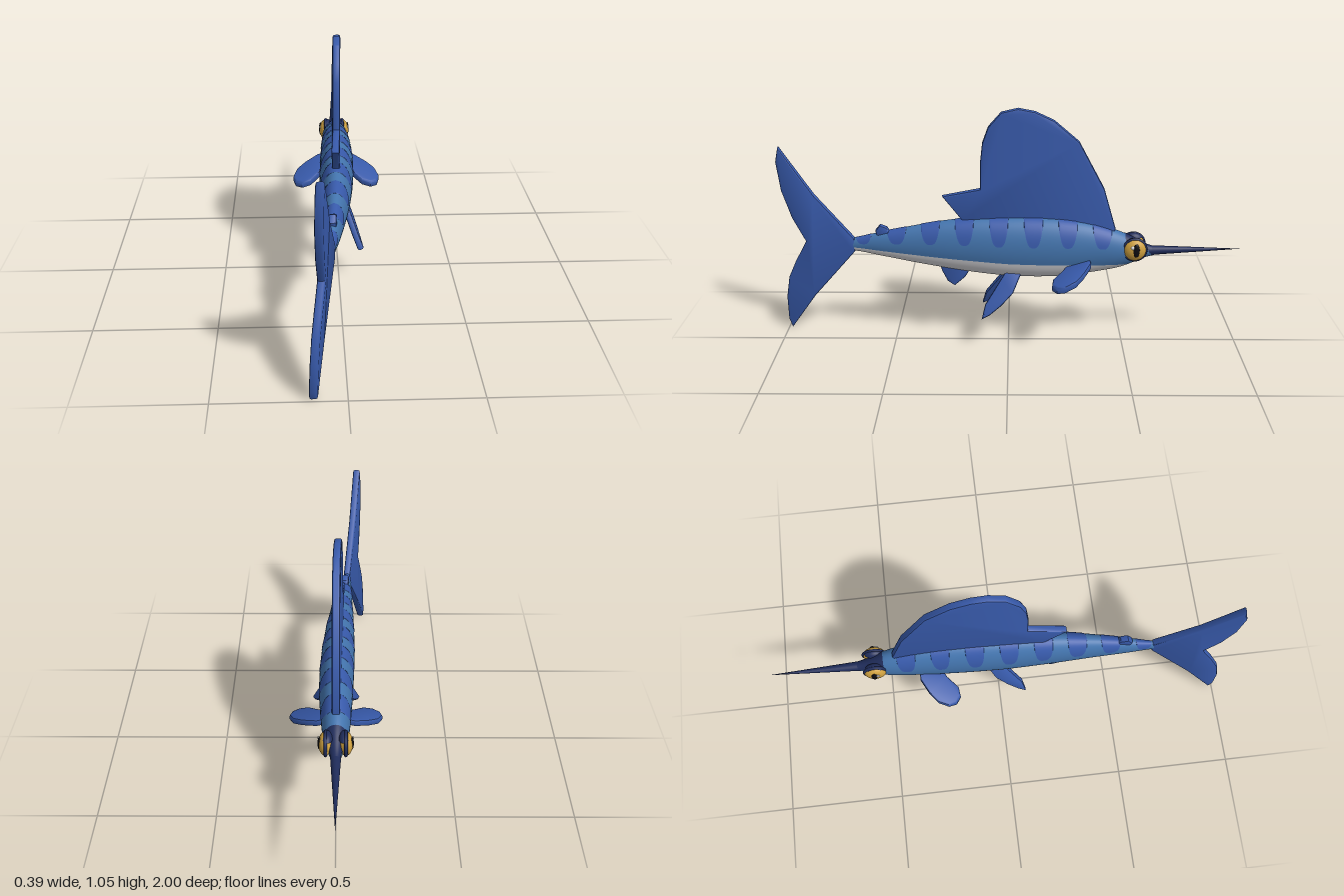
import * as THREE from 'three';
import { toCreasedNormals } from 'three/addons/utils/BufferGeometryUtils.js';

const mat = (name, color, side = THREE.FrontSide) => {
  const m = new THREE.MeshStandardMaterial({ color, side });
  m.name = name;
  return m;
};

// Body stations, evenly spaced along z from snout to tail root
const Z0 = -0.62, STEP = 0.13, Z1 = 0.68;
const TOP = [0.445, 0.508, 0.55, 0.57, 0.576, 0.574, 0.567, 0.55, 0.523, 0.493, 0.46];
const BOTTOM = [0.405, 0.355, 0.328, 0.31, 0.305, 0.309, 0.322, 0.34, 0.36, 0.382, 0.402];
const WIDTH = [0.018, 0.05, 0.063, 0.07, 0.073, 0.072, 0.066, 0.057, 0.044, 0.031, 0.015];
const BEND = [0, 0, 0, 0, -0.003, -0.008, -0.014, -0.021, -0.03, -0.041, -0.052];

// Smooth interpolation of a station table
function at(table, z) {
  const f = THREE.MathUtils.clamp((z - Z0) / STEP, 0, table.length - 1);
  const i = Math.min(Math.floor(f), table.length - 2), t = f - i;
  const p = (k) => table[THREE.MathUtils.clamp(k, 0, table.length - 1)];
  const [a, b, c, d] = [p(i - 1), p(i), p(i + 1), p(i + 2)];
  return b + 0.5 * t * (c - a + t * (2 * a - 5 * b + 4 * c - d + t * (3 * (b - c) + d - a)));
}

// Sideways curve of the spine, carried on into the tail fin
const spine = (z) => (z > Z1 ? -0.052 - (z - Z1) * 0.19 : at(BEND, z));

// Patch of body skin between z0..z1 and two angles measured from the top
function skin(z0, z1, from, to, lift = 0, rows = 48, cols = 32) {
  const pos = [], idx = [];
  for (let i = 0; i <= rows; i++) {
    const z = z0 + (z1 - z0) * i / rows;
    const mid = (at(TOP, z) + at(BOTTOM, z)) / 2;
    const h = (at(TOP, z) - at(BOTTOM, z)) / 2 + lift, w = at(WIDTH, z) + lift;
    for (let j = 0; j <= cols; j++) {
      const a = from(z) + (to(z) - from(z)) * j / cols;
      pos.push(spine(z) + w * Math.sin(a), mid + h * Math.cos(a), z);
      if (i < rows && j < cols) {
        const k = i * (cols + 1) + j, n = k + cols + 1;
        idx.push(k, n, k + 1, k + 1, n, n + 1);
      }
    }
  }
  const g = new THREE.BufferGeometry();
  g.setAttribute('position', new THREE.Float32BufferAttribute(pos, 3));
  g.setIndex(idx);
  g.computeVertexNormals();
  return g;
}

// Angle where the white belly meets the blue flank
function bellyAngle(z) {
  const line = 0.383 + 0.055 * Math.max(z, 0) + 0.02 * Math.min(z, 0);
  const mid = (at(TOP, z) + at(BOTTOM, z)) / 2, h = (at(TOP, z) - at(BOTTOM, z)) / 2;
  return Math.acos(THREE.MathUtils.clamp((line - mid) / h, -0.98, 0.98));
}

// Thick bevelled fin: outline in (a, b), thickness t, placed by a mapping
function fin(points, map, flip = false, thick = 0.032) {
  const bevel = 0.008;
  const g = new THREE.ExtrudeGeometry(new THREE.Shape(points.map((p) => new THREE.Vector2(...p))), {
    depth: thick - 2 * bevel, bevelThickness: bevel, bevelSize: bevel, bevelOffset: -bevel, bevelSegments: 2,
  });
  g.translate(0, 0, bevel - thick / 2);
  const p = g.attributes.position;
  for (let i = 0; i < p.count; i++) p.setXYZ(i, ...map(p.getX(i), p.getY(i), p.getZ(i)));
  if (flip) {
    const a = new THREE.Vector3(), b = new THREE.Vector3();
    for (let i = 0; i < p.count; i += 3) {
      a.fromBufferAttribute(p, i + 1);
      b.fromBufferAttribute(p, i + 2);
      p.setXYZ(i + 1, b.x, b.y, b.z);
      p.setXYZ(i + 2, a.x, a.y, a.z);
    }
  }
  g.deleteAttribute('uv');
  return toCreasedNormals(g, 0.7);
}

export function createModel() {
  const model = new THREE.Group();
  const finBlue = mat('finBlue', 0x3759a9), flankBlue = mat('flankBlue', 0x4374ad, THREE.DoubleSide);
  const white = mat('bellyWhite', 0xd6d6da, THREE.DoubleSide), navy = mat('navy', 0x1f2c5a, THREE.DoubleSide);
  const gold = mat('eyeGold', 0xcfa140), black = mat('pupilBlack', 0x0c0c10), shine = mat('eyeShine', 0xffffff);
  const add = (name, g, m, parent = model) => {
    const mesh = new THREE.Mesh(g, m);
    mesh.name = name;
    parent.add(mesh);
    return mesh;
  };

  // Body
  add('back', skin(Z0, Z1, (z) => -bellyAngle(z), bellyAngle), flankBlue);
  add('belly', skin(Z0, Z1, bellyAngle, (z) => 2 * Math.PI - bellyAngle(z)), white);
  add('headCrown', skin(Z0, -0.5, () => -1.2, () => 1.2, 0.002, 12), navy);

  // Rounded stripes over the back
  for (let i = 0; i < 8; i++) {
    const c = -0.4 + i * 0.147, r = i === 7 ? 0.035 : 0.043;
    const reach = (z) => 1.42 * Math.sqrt(Math.max(0, 1 - Math.abs((z - c) / r) ** 3));
    add('stripe', skin(c - r, c + r, (z) => -reach(z), reach, 0.0015, 24, 20), finBlue);
  }

  // Bill and snout
  const bill = add('bill', new THREE.ConeGeometry(0.022, 0.41, 20), navy);
  bill.geometry.rotateX(-Math.PI / 2);
  bill.position.set(0, 0.431, -0.795);
  bill.rotation.x = 0.02;
  const snout = add('snout', new THREE.SphereGeometry(1, 20, 14), navy);
  snout.scale.set(0.02, 0.022, 0.025);
  snout.position.set(0, 0.426, -0.615);

  // Upright fins, outlined in (z, y) and following the spine
  const upright = (z, y, t) => [spine(z) - t, y, z];
  add('sail', fin([[-0.45, 0.49], [-0.457, 0.53], [-0.405, 0.705], [-0.295, 0.91], [-0.19, 1.0], [-0.11, 1.037],
    [-0.04, 1.05], [0.03, 1.033], [0.085, 0.97], [0.11, 0.9], [0.12, 0.81], [0.12, 0.7], [0.283, 0.665],
    [0.2, 0.56], [0.18, 0.52], [-0.1, 0.5]], upright), finBlue);
  add('rearFinlet', fin([[0.5, 0.47], [0.525, 0.515], [0.555, 0.526], [0.576, 0.5], [0.57, 0.47]], upright), finBlue);
  add('analFin', fin([[0.15, 0.36], [0.19, 0.295], [0.235, 0.255], [0.265, 0.275], [0.29, 0.325], [0.3, 0.365]],
    upright), finBlue);
  add('tailFin', fin([[0.67, 0.46], [0.84, 0.65], [0.985, 0.857], [1.0, 0.79], [0.985, 0.66], [0.945, 0.535],
    [0.89, 0.43], [0.945, 0.33], [0.982, 0.25], [1.0, 0.15], [1.0, 0.04], [0.985, 0], [0.865, 0.17], [0.67, 0.4]],
    (z, y, t) => [spine(z) - t + (y - 0.43) * 0.035, y, z]), finBlue);

  // Paired fins and eyes
  for (const s of [1, -1]) {
    const side = s > 0 ? 'left' : 'right';
    add(side + 'PectoralFin', fin([[0.045, -0.35], [0.08, -0.352], [0.14, -0.318], [0.178, -0.285], [0.195, -0.24],
      [0.185, -0.205], [0.155, -0.185], [0.115, -0.19], [0.07, -0.235], [0.045, -0.25]],
      (x, z, t) => [s * x, 0.36 - 0.23 * (x - 0.07) - 0.32 * (z + 0.27) - t, z], s < 0), finBlue);
    add(side + 'PelvicFin', fin([[-0.06, 0.335], [0.01, 0.335], [0.03, 0.305], [0.1, 0.2], [0.115, 0.14],
      [0.08, 0.157], [0.03, 0.195], [-0.02, 0.245]],
      (z, y, t) => [s * (0.02 + (0.33 - y) * 0.4 - t * 0.92), y - t * 0.35, z], s < 0, 0.028), finBlue);

    const eye = new THREE.Group();
    eye.name = side + 'Eye';
    eye.position.set(s * 0.04, 0.444, -0.54);
    model.add(eye);
    const ball = (name, m, size, x, y, z) => {
      const b = add(name, new THREE.SphereGeometry(1, 24, 16), m, eye);
      b.scale.set(...size);
      b.position.set(s * x, y, z);
    };
    ball('iris', gold, [0.028, 0.048, 0.048], 0, 0, 0);
    ball('pupil', black, [0.007, 0.03, 0.014], 0.024, 0.004, -0.004);
    ball('highlight', shine, [0.004, 0.008, 0.008], 0.027, 0.018, 0.012);
    const rim = add('eyeRim', new THREE.TorusGeometry(0.047, 0.007, 8, 32), navy, eye);
    rim.rotation.y = Math.PI / 2;
    const lid = add('eyelid', new THREE.SphereGeometry(1, 24, 8, 0, Math.PI * 2, 0, 0.85), navy, eye);
    lid.scale.set(0.03, 0.052, 0.052);
    lid.rotation.z = s * 0.2;
  }
  return model;
}
